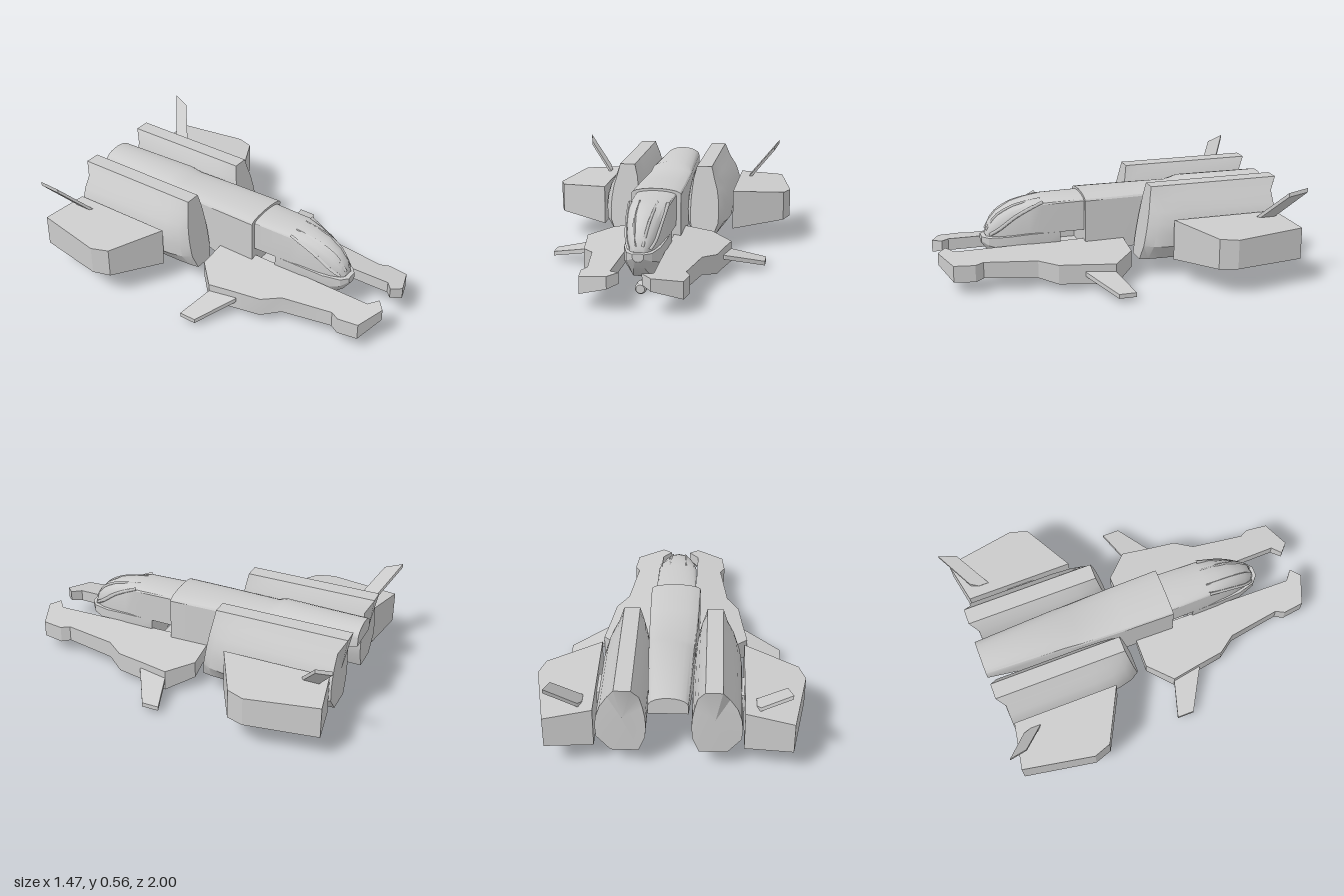
import * as THREE from 'three';
import { toCreasedNormals } from 'three/addons/utils/BufferGeometryUtils.js';

const material = new THREE.MeshStandardMaterial({ color: 0xcccccc });

// Skin over a row of closed rings, with a fan cap at each end
function loft(rings) {
  const pos = [];
  const n = rings[0].length;
  const tri = (...pts) => pts.forEach((p) => pos.push(p.x, p.y, p.z));
  for (let r = 0; r < rings.length - 1; r++) {
    for (let i = 0; i < n; i++) {
      const j = (i + 1) % n;
      const a = rings[r][i], b = rings[r][j], c = rings[r + 1][j], d = rings[r + 1][i];
      tri(a, b, c);
      tri(a, c, d);
    }
  }
  const cap = (ring, flip) => {
    const mid = new THREE.Vector3();
    ring.forEach((p) => mid.addScaledVector(p, 1 / n));
    ring.forEach((p, i) => {
      const q = ring[(i + 1) % n];
      if (flip) tri(mid, q, p); else tri(mid, p, q);
    });
  };
  cap(rings[0], true);
  cap(rings[rings.length - 1], false);
  const geo = new THREE.BufferGeometry();
  geo.setAttribute('position', new THREE.Float32BufferAttribute(pos, 3));
  // Turn the faces outwards if the enclosed volume is negative
  let volume = 0;
  const v = [0, 1, 2].map(() => new THREE.Vector3());
  for (let i = 0; i < pos.length / 3; i += 3) {
    v.forEach((p, k) => p.fromBufferAttribute(geo.attributes.position, i + k));
    volume += v[0].dot(v[1].clone().cross(v[2]));
  }
  if (volume < 0) flipFaces(geo);
  return toCreasedNormals(geo, 0.5);
}

function flipFaces(geo) {
  const p = geo.attributes.position;
  for (let i = 0; i < p.count; i += 3) {
    const b = [p.getX(i + 1), p.getY(i + 1), p.getZ(i + 1)];
    p.setXYZ(i + 1, p.getX(i + 2), p.getY(i + 2), p.getZ(i + 2));
    p.setXYZ(i + 2, ...b);
  }
}

function mirrored(geo) {
  const copy = geo.index ? geo.toNonIndexed() : geo.clone();
  copy.scale(-1, 1, 1);
  flipFaces(copy);
  return toCreasedNormals(copy, 0.5);
}

// Slab with a plan outline of [x, z] points; top and bottom heights depend on x
function slab(outline, top, bottom) {
  const shape = new THREE.Shape(outline.map(([x, z]) => new THREE.Vector2(x, z)));
  let geo = new THREE.ExtrudeGeometry(shape, { depth: 1, bevelEnabled: false });
  if (geo.index) geo = geo.toNonIndexed();
  const p = geo.attributes.position;
  for (let i = 0; i < p.count; i++) {
    const x = p.getX(i);
    p.setXYZ(i, x, THREE.MathUtils.lerp(top(x), bottom(x), p.getZ(i)), p.getY(i));
  }
  geo.computeVertexNormals();
  return geo;
}

// Hull section: flat bottom, straight sides, arched top
function section([z, halfWidth, top, shoulder, bottom, bottomHalf, knee = bottom]) {
  const pts = [[-halfWidth, knee], [-bottomHalf, bottom], [bottomHalf, bottom], [halfWidth, knee]];
  for (let i = 0; i <= 10; i++) {
    const a = (Math.PI * i) / 10;
    pts.push([halfWidth * Math.cos(a), shoulder + (top - shoulder) * Math.sin(a)]);
  }
  return pts.map(([x, y]) => new THREE.Vector3(x, y, z));
}

export function createModel() {
  const model = new THREE.Group();
  const add = (name, geo) => {
    const mesh = new THREE.Mesh(geo, material);
    mesh.name = name;
    model.add(mesh);
    return mesh;
  };
  const addPair = (name, geo) => {
    add(name + 'Left', geo);
    add(name + 'Right', mirrored(geo));
  };

  // Canopy and forward body: z, half width, top, shoulder, bottom, bottom half width
  add('canopyBody', loft([
    [0.71, 0.03, 0.27, 0.25, 0.23, 0.03],
    [0.69, 0.052, 0.33, 0.27, 0.23, 0.052],
    [0.64, 0.075, 0.385, 0.30, 0.23, 0.075],
    [0.56, 0.093, 0.43, 0.35, 0.23, 0.093],
    [0.47, 0.105, 0.45, 0.40, 0.24, 0.105],
    [0.39, 0.113, 0.458, 0.43, 0.26, 0.113],
    [0.12, 0.118, 0.458, 0.435, 0.26, 0.118],
  ].map(section)));

  // Chin hull under the cockpit
  add('chin', loft([
    [0.735, 0.03, 0.25, 0.245, 0.205, 0.015, 0.22],
    [0.70, 0.07, 0.25, 0.245, 0.16, 0.03, 0.20],
    [0.60, 0.10, 0.255, 0.25, 0.085, 0.05, 0.17],
    [0.46, 0.113, 0.27, 0.26, 0.06, 0.07, 0.14],
    [0.29, 0.115, 0.27, 0.26, 0.055, 0.07, 0.14],
  ].map(section)));

  // Canopy frame ribs
  const rib = (points, radius) => new THREE.TubeGeometry(
    new THREE.CatmullRomCurve3(points.map((p) => new THREE.Vector3(...p))), 10, radius, 4);
  addPair('canopyRib', rib([[0.05, 0.45, 0.39], [0.045, 0.42, 0.55], [0.035, 0.365, 0.65], [0.02, 0.28, 0.705]], 0.009));
  addPair('canopySideRail', rib([[0.107, 0.445, 0.39], [0.095, 0.37, 0.54], [0.075, 0.29, 0.645], [0.055, 0.26, 0.69]], 0.011));

  // Main fuselage, stepping up between the engines and thinning to the tail
  add('fuselage', loft([
    [0.15, 0.145, 0.472, 0.44, 0.14, 0.13],
    [-0.13, 0.14, 0.472, 0.44, 0.14, 0.12],
    [-0.41, 0.13, 0.472, 0.44, 0.23, 0.09],
    [-0.485, 0.128, 0.50, 0.45, 0.25, 0.085],
    [-0.97, 0.105, 0.50, 0.45, 0.40, 0.06],
  ].map(section)));

  // Belly block
  add('bellyBlock', loft([0.25, -0.05].map((z) =>
    [[-0.14, 0.06], [0.14, 0.06], [0.17, 0.09], [0.17, 0.15], [-0.17, 0.15], [-0.17, 0.09]]
      .map(([x, y]) => new THREE.Vector3(x, y, z)))));

  // Engine pods: constant top ridge, sides swelling out behind a raked front face
  const podProfile = [
    [0.19, 0.535], [0.28, 0.535], [0.318, 0.465], [0.36, 0.40], [0.383, 0.33], [0.39, 0.27], [0.385, 0.20],
    [0.31, 0.11], [0.16, 0.11], [0.125, 0.20], [0.12, 0.27], [0.123, 0.33], [0.135, 0.40], [0.152, 0.465],
  ];
  const podRing = (swell, zAt) => podProfile.map(([x, y]) => {
    const edge = THREE.MathUtils.clamp(x, 0.19, 0.28);
    return new THREE.Vector3(edge + (x - edge) * swell, y, zAt(y));
  });
  const rake = (y) => -0.13 - 0.165 * (y - 0.11);
  addPair('enginePod', loft([
    podRing(0.45, rake),
    podRing(0.75, (y) => rake(y) - 0.05),
    podRing(0.92, (y) => rake(y) - 0.13),
    podRing(1, (y) => rake(y) - 0.24),
    podRing(1, (y) => (y > 0.5 ? -0.965 : -0.925)),
  ]));

  // Forward arms with hooked tips, sloping down outwards
  addPair('forwardArm', slab([
    [0.10, -0.08], [0.30, -0.08], [0.43, 0.05], [0.405, 0.20], [0.38, 0.37], [0.31, 0.47], [0.265, 0.77],
    [0.29, 0.82], [0.275, 0.94], [0.115, 1.0], [0.06, 0.95], [0.115, 0.905],
  ], (x) => 0.22 - 0.165 * x, (x) => 0.17 - 0.33 * x));

  // Small winglets on the arms
  addPair('winglet', slab([[0.38, 0.06], [0.43, 0.05], [0.63, -0.005], [0.63, 0.095], [0.41, 0.22], [0.38, 0.22]],
    (x) => 0.113 - 0.28 * (x - 0.4), (x) => 0.088 - 0.28 * (x - 0.4)));

  // Thick rear wings, their mounts and the tilted fins
  addPair('rearWing', slab([[0.40, -0.30], [0.70, -0.455], [0.735, -0.555], [0.66, -0.965], [0.40, -0.915]],
    (x) => 0.365 - 0.1 * (x - 0.4), (x) => 0.13 + 0.1 * (x - 0.4)));
  addPair('wingMount', slab([[0.36, -0.53], [0.41, -0.53], [0.41, -0.69], [0.36, -0.69]], () => 0.31, () => 0.20));
  addPair('tailFin', slab([[0.46, -0.78], [0.61, -0.90], [0.635, -1.0], [0.48, -0.885], [0.46, -0.84]],
    (x) => 0.362 + 1.14 * (x - 0.46), (x) => 0.338 + 1.14 * (x - 0.46)));

  // Chin gun
  const gunProfile = [[0, 0.41], [0.016, 0.41], [0.021, 0.42], [0.021, 0.58], [0.032, 0.60], [0.032, 0.655], [0.024, 0.67], [0, 0.67]];
  const gun = new THREE.LatheGeometry(gunProfile.map(([r, z]) => new THREE.Vector2(r, z)), 16);
  gun.rotateX(Math.PI / 2);
  gun.translate(0, 0.032, 0);
  add('chinGun', toCreasedNormals(gun, 0.5));
  const mount = new THREE.BoxGeometry(0.02, 0.05, 0.08);
  mount.translate(0, 0.065, 0.47);
  add('gunMount', mount);

  return model;
}
